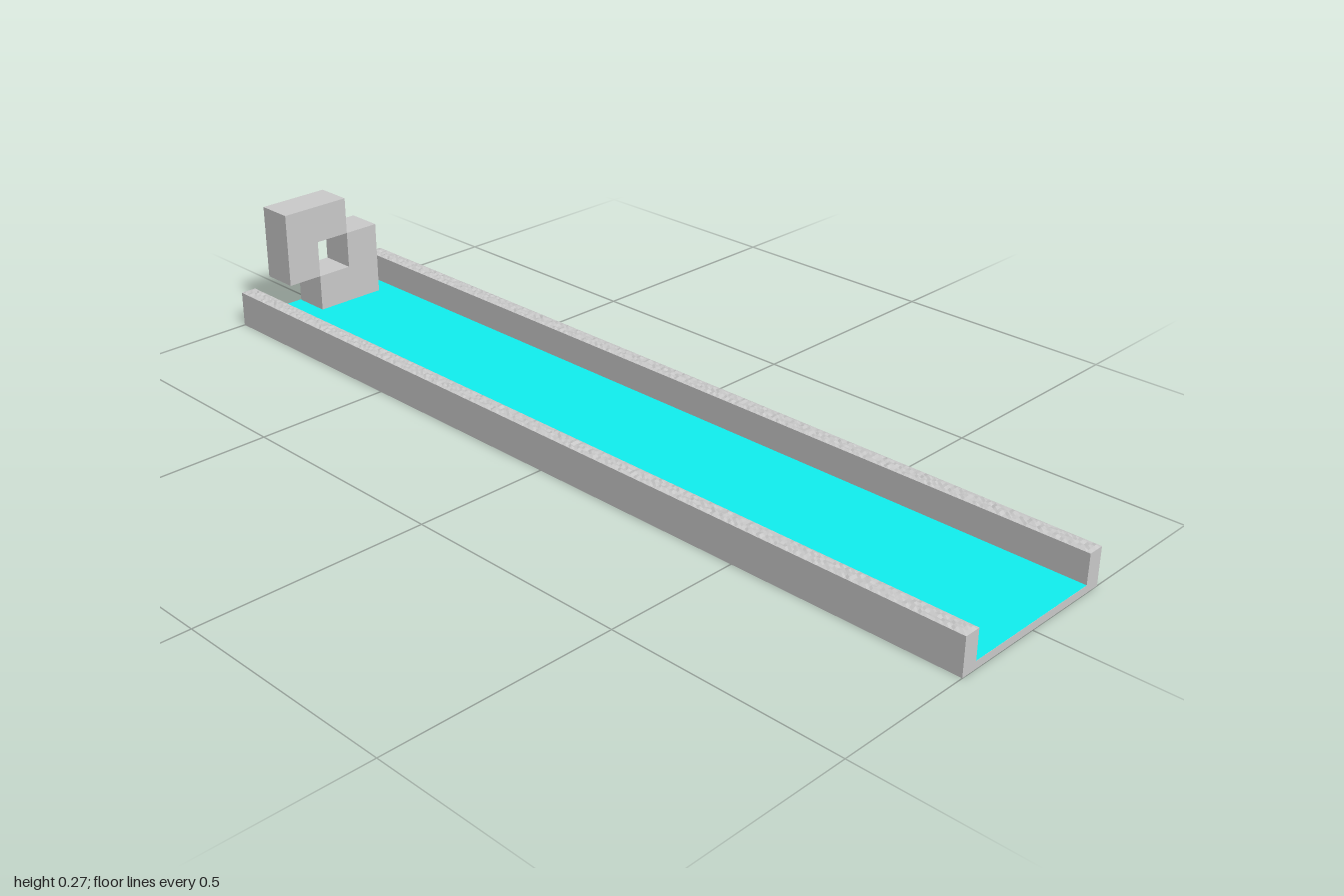
import * as THREE from 'three';

const grey = new THREE.MeshStandardMaterial({ color: 0xcccccc, flatShading: true });
const cyan = new THREE.MeshStandardMaterial({ color: 0x10f0f0 });

// Straight extrusion of an x-y outline between two z positions
function prism(name, points, z0, z1) {
  const shape = new THREE.Shape(points.map(([x, y]) => new THREE.Vector2(x, y)));
  const geo = new THREE.ExtrudeGeometry(shape, { depth: z1 - z0, bevelEnabled: false });
  geo.translate(0, 0, z0);
  const mesh = new THREE.Mesh(geo, grey);
  mesh.name = name;
  return mesh;
}

// Gritty strip: a fine grid whose inner vertices are lifted by seeded noise
function roughStrip(name, width, length, height, seed) {
  const geo = new THREE.PlaneGeometry(width, length, 6, 240).rotateX(-Math.PI / 2);
  const p = geo.attributes.position;
  let s = seed;
  for (let i = 0; i < p.count; i++) {
    s = (s * 16807) % 2147483647;
    const edge = Math.abs(p.getX(i)) > width / 2 - 1e-4 || Math.abs(p.getZ(i)) > length / 2 - 1e-4;
    p.setY(i, edge ? 0 : height * (s / 2147483647));
  }
  geo.computeVertexNormals();
  const mesh = new THREE.Mesh(geo, grey);
  mesh.name = name;
  return mesh;
}

export function createModel() {
  const model = new THREE.Group();
  model.name = 'channel';
  const W = 0.2, inner = 0.164, floorY = 0.016, wallY = 0.08;

  // U-shaped trough
  model.add(prism('trough', [
    [-W, 0], [W, 0], [W, wallY], [inner, wallY], [inner, floorY],
    [-inner, floorY], [-inner, wallY], [-W, wallY],
  ], -1, 1));

  // Coloured lane surface
  const lane = new THREE.Mesh(new THREE.PlaneGeometry(inner * 2, 2).rotateX(-Math.PI / 2), cyan);
  lane.name = 'lane';
  lane.position.y = floorY + 0.0006;
  model.add(lane);

  // Gritty tops of both side walls
  for (const side of [-1, 1]) {
    const cap = roughStrip(side < 0 ? 'rightWallTop' : 'leftWallTop', W - inner, 2, 0.003, 77 + side);
    cap.position.set(side * (W + inner) / 2, wallY + 0.0003, 0);
    model.add(cap);
  }

  // Two interlocking L blocks framing a square hole at the back end
  const a = 0.0415, b = 0.1245, y0 = floorY, y1 = 0.1, y2 = 0.184, y3 = 0.269;
  const blocks = new THREE.Group();
  blocks.name = 'endBlocks';
  blocks.add(
    prism('upperBlock', [[-b, y1], [-a, y1], [-a, y2], [a, y2], [a, y3], [-b, y3]], -0.997, -0.914),
    prism('lowerBlock', [[-a, y0], [b, y0], [b, y2], [a, y2], [a, y1], [-a, y1]], -0.997, -0.914),
  );
  model.add(blocks);
  return model;
}
